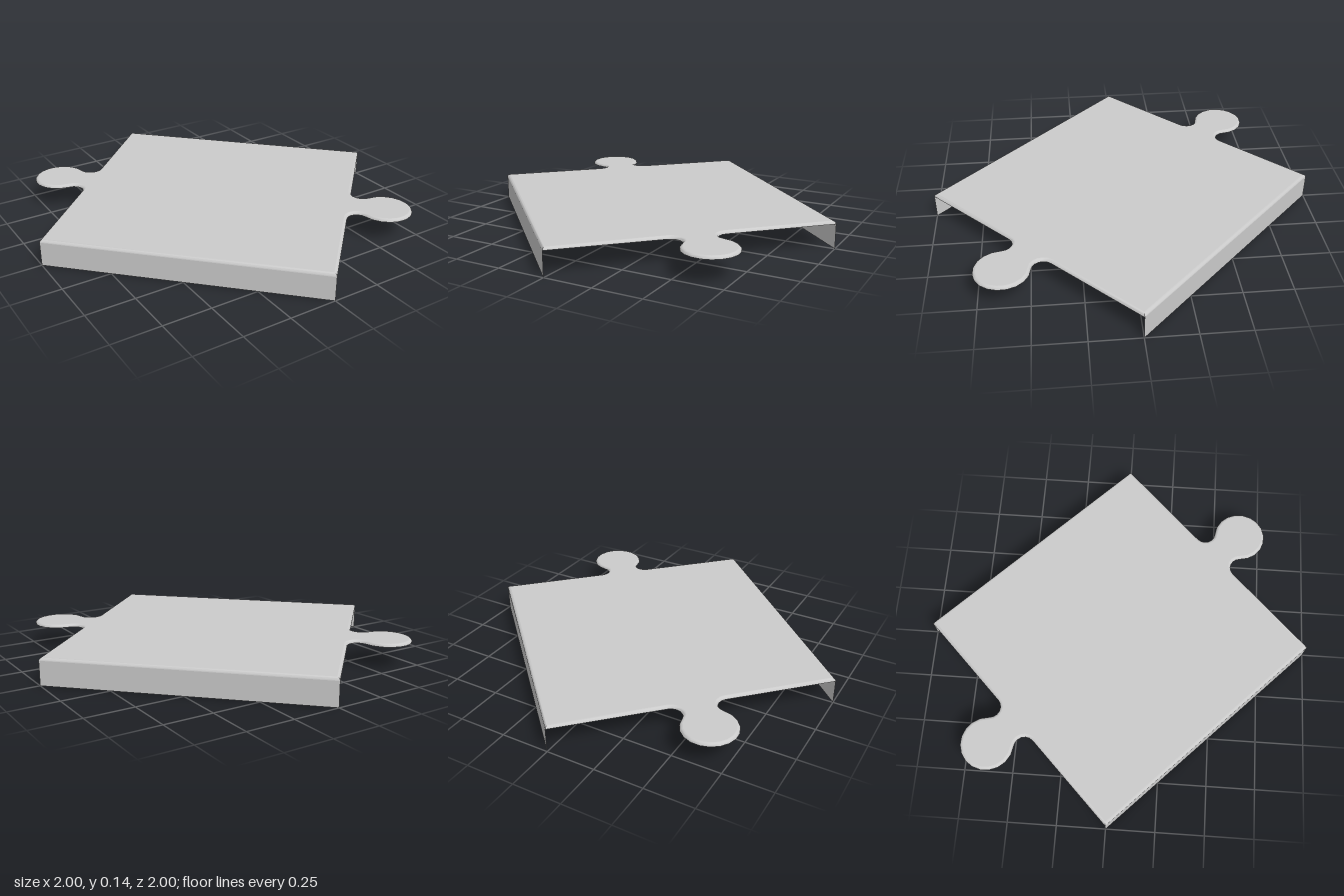
import * as THREE from 'three';
import { toCreasedNormals } from 'three/addons/utils/BufferGeometryUtils.js';

const TOP = 0.14, WALL = 0.125, BEVEL = 0.015;

// Points on an arc, angles in degrees
function arc(cx, cy, r, from, to, steps) {
  const pts = [];
  for (let i = 0; i <= steps; i++) {
    const a = THREE.MathUtils.degToRad(from + (to - from) * i / steps);
    pts.push(new THREE.Vector2(cx + r * Math.cos(a), cy + r * Math.sin(a)));
  }
  return pts;
}

// Square turned on its corner, with a round-headed tab on two opposite edges
function outline() {
  const tab = [
    ...arc(-0.142, 0.762, 0.055, -90, 42.3, 6),
    ...arc(0, 0.891, 0.137, 222.3, -42.3, 14).slice(1),
    ...arc(0.142, 0.762, 0.055, 137.7, 270, 6).slice(1),
  ].map(p => new THREE.Vector2(p.x + p.y, p.x - p.y).multiplyScalar(Math.SQRT1_2));
  const half = [new THREE.Vector2(0, -1), ...tab];
  const corner = new THREE.Vector2(1, 0);
  return [...half, corner, ...half.map(p => p.clone().negate()), corner.clone().negate()];
}

// Move a closed outline inwards with mitred corners
function inset(pts, d) {
  const n = pts.length;
  const normal = (a, b) => new THREE.Vector2(b.y - a.y, a.x - b.x).normalize();
  return pts.map((p, i) => {
    const n1 = normal(pts[(i + n - 1) % n], p), n2 = normal(p, pts[(i + 1) % n]);
    const k = d / (1 + n1.dot(n2));
    return p.clone().addScaledVector(n1.add(n2), -k);
  });
}

// Rounded rim made of rings from the outer edge up to the flat top
function rimGeometry(pts, steps) {
  const pos = [], index = [], n = pts.length;
  for (let k = 0; k <= steps; k++) {
    const a = k / steps * Math.PI / 2;
    const y = WALL + (TOP - WALL) * Math.sin(a);
    for (const p of inset(pts, BEVEL * (1 - Math.cos(a)))) pos.push(p.x, y, -p.y);
  }
  for (let k = 0; k < steps; k++) {
    for (let i = 0; i < n; i++) {
      const j = (i + 1) % n, a = k * n + i, b = k * n + j;
      index.push(a, b, b + n, a, b + n, a + n);
    }
  }
  const g = new THREE.BufferGeometry();
  g.setAttribute('position', new THREE.Float32BufferAttribute(pos, 3));
  g.setIndex(index);
  return toCreasedNormals(g, 0.7);
}

export function createModel() {
  const group = new THREE.Group();
  const material = new THREE.MeshStandardMaterial({ color: 0xcccccc, side: THREE.DoubleSide });
  const add = (name, geometry) => {
    const mesh = new THREE.Mesh(geometry, material);
    mesh.name = name;
    group.add(mesh);
    return mesh;
  };

  const pts = outline();

  // Flat top with its two tabs
  const top = new THREE.ShapeGeometry(new THREE.Shape(inset(pts, BEVEL)));
  top.rotateX(-Math.PI / 2).translate(0, TOP, 0);
  add('topPlate', top);

  // Rounded edge all the way round
  add('roundedRim', rimGeometry(pts, 4));

  // Thin side walls under the two plain edges
  for (const s of [1, -1]) {
    const wall = add(s > 0 ? 'backWall' : 'frontWall', new THREE.PlaneGeometry(Math.SQRT2, WALL));
    wall.position.set(0.5 * s, WALL / 2, -0.5 * s);
    wall.rotation.y = s > 0 ? Math.PI * 0.75 : -Math.PI / 4;
  }
  return group;
}
